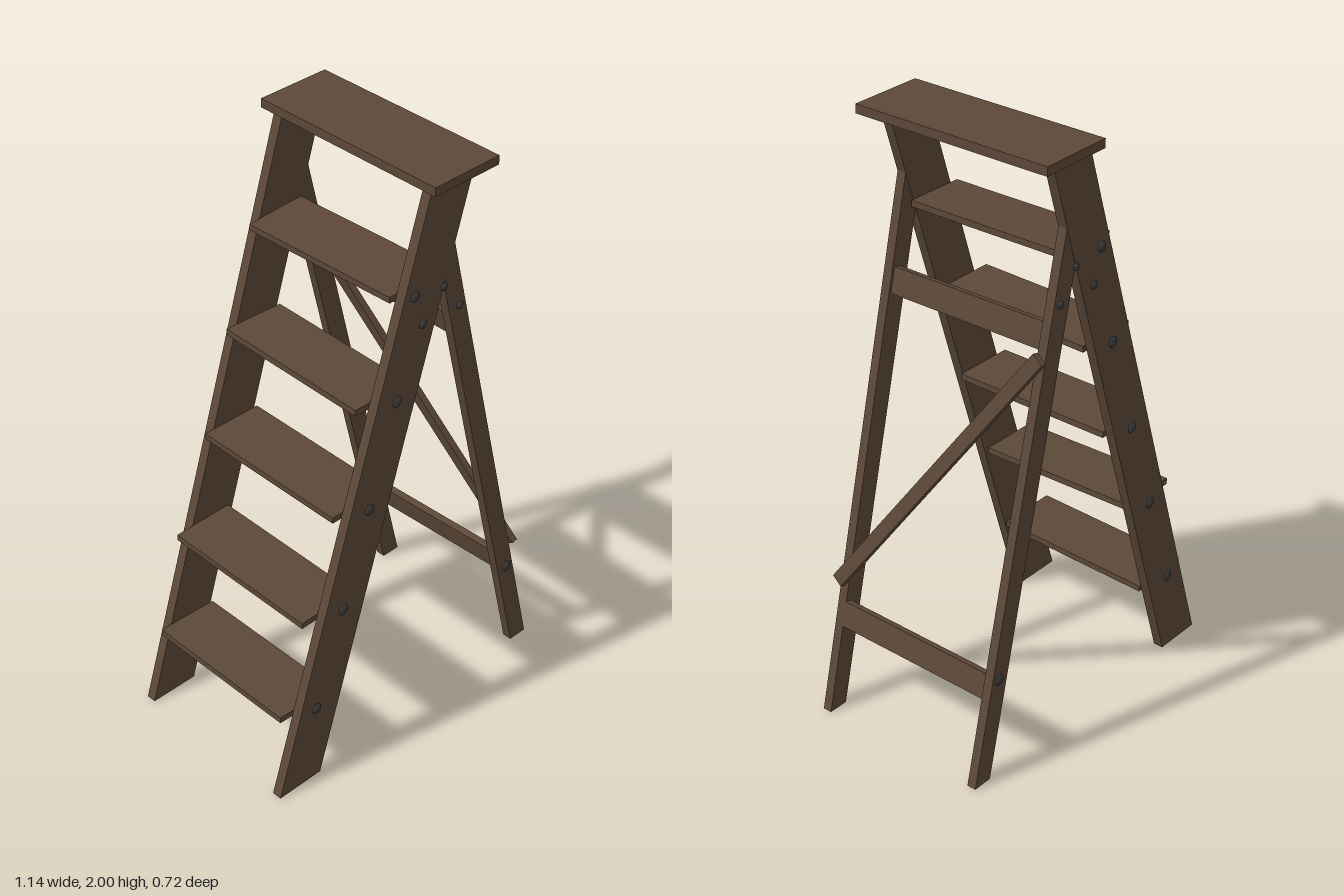
import * as THREE from 'three';

export function createModel() {
  const model = new THREE.Group();
  model.name = 'stepladder';
  const wood = new THREE.MeshStandardMaterial({ color: 0x5c4838 });
  wood.name = 'brown wood';
  const iron = new THREE.MeshStandardMaterial({ color: 0x3c3d40 });
  iron.name = 'dark iron';

  const add = (name, geometry, material) => {
    const mesh = new THREE.Mesh(geometry, material);
    mesh.name = name;
    model.add(mesh);
    return mesh;
  };
  const board = (name, size, pos, rot = [0, 0, 0]) => {
    const mesh = add(name, new THREE.BoxGeometry(...size), wood);
    mesh.position.set(...pos);
    mesh.rotation.set(...rot);
    return mesh;
  };
  // Side-profile plank, centred on z
  const plank = (name, points, depth, z) => {
    const shape = new THREE.Shape(points.map(([x, y]) => new THREE.Vector2(x, y)));
    const geo = new THREE.ExtrudeGeometry(shape, { depth, bevelEnabled: false });
    geo.translate(0, 0, -depth / 2);
    add(name, geo, wood).position.z = z;
  };

  // Top platform
  board('topBoard', [0.26, 0.03, 0.716], [0.152, 1.985, 0]);

  // Stringers, rear legs and bolts on both sides
  const bolts = [
    [-0.015, 1.64, 0.018], [-0.08, 1.3, 0.019], [-0.19, 0.955, 0.019],
    [-0.3, 0.625, 0.019], [-0.415, 0.285, 0.019], [0.455, 0.355, 0.019],
    [0.02, 1.53, 0.015], [0.105, 1.62, 0.013], [0.175, 1.525, 0.013],
  ];
  const boltGeo = new THREE.SphereGeometry(1, 10, 5, 0, Math.PI * 2, 0, Math.PI / 2);
  boltGeo.rotateX(Math.PI / 2);
  for (const side of [1, -1]) {
    const label = side > 0 ? 'Front' : 'Back';
    plank('stringer' + label, [[-0.575, 0], [-0.402, 0], [0.215, 1.972], [0.046, 1.972]], 0.034, side * 0.307);
    plank('rearLeg' + label, [[0.5, 0], [0.57, 0], [0.145, 1.765], [0.108, 1.62]], 0.032, side * 0.307);
    for (const [x, y, r] of bolts) {
      const bolt = add('bolt' + label, boltGeo, iron);
      bolt.position.set(x, y, side * 0.3235);
      bolt.scale.set(r, r, 0.009);
      if (side < 0) bolt.rotation.y = Math.PI;
    }
  }

  // Slightly crooked treads: left edge x, y, roll, yaw, pitch
  const treads = [
    [-0.53, 0.279, -0.022, -0.017, -0.02],
    [-0.44, 0.625, 0.012, 0, 0.01],
    [-0.307, 0.959, 0, -0.008, 0],
    [-0.208, 1.304, -0.006, -0.026, -0.02],
    [-0.093, 1.645, -0.009, 0.026, 0.03],
  ];
  for (const [x, y, roll, yaw, pitch] of treads) {
    board('tread', [0.216, 0.021, 0.578], [x + 0.108, y, 0], [roll, yaw, pitch]);
  }

  // Rear cross rails and diagonal brace, leaning with the rear legs
  const lean = Math.atan(0.241);
  board('upperRail', [0.024, 0.086, 0.59], [0.205, 1.425, 0], [0.006, 0, lean]);
  board('lowerRail', [0.024, 0.086, 0.59], [0.474, 0.332, 0], [-0.026, 0.012, lean]);

  const brace = new THREE.Group();
  brace.name = 'diagonalBrace';
  brace.position.set(0.362, 0.912, 0.007);
  brace.rotation.z = lean;
  const bar = board('braceBar', [0.022, 1.14, 0.045], [0, 0, 0], [-0.587, 0, 0]);
  brace.add(bar);
  model.add(brace);

  return model;
}
